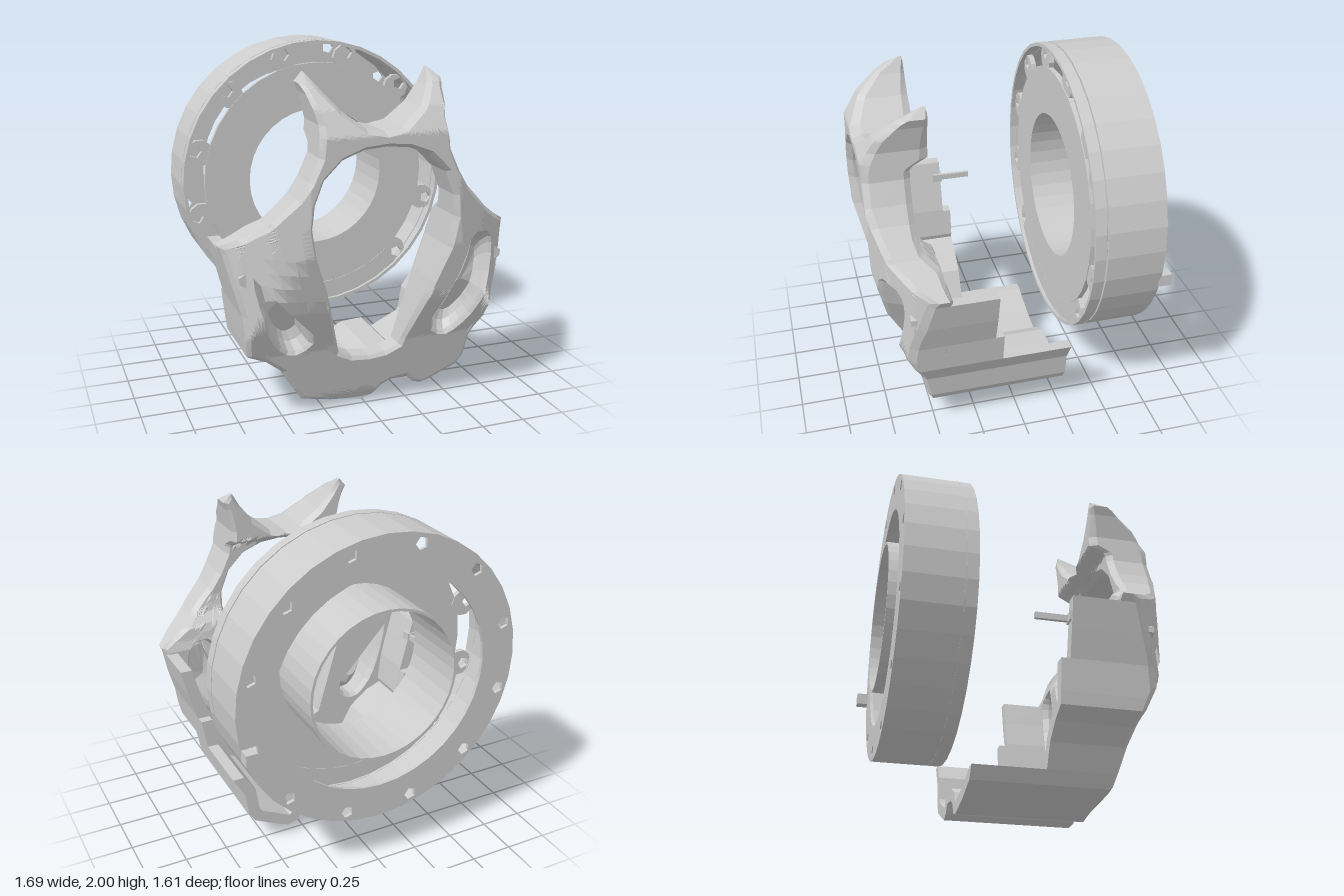
import * as THREE from 'three';

const material = new THREE.MeshStandardMaterial({ color: 0xcccccc, flatShading: true, side: THREE.DoubleSide });
const CY = 1.155; // height of the ring axis
const DEG = Math.PI / 180;

function add(parent, name, geometry) {
  const mesh = new THREE.Mesh(geometry, material);
  mesh.name = name;
  parent.add(mesh);
  return mesh;
}
const toVectors = pts => pts.map(p => new THREE.Vector2(p[0], p[1]));
const mirror = pts => pts.map(([x, y]) => [-x, y]).reverse();

// Piecewise linear lookup through [key, value] pairs
function lookup(table, k) {
  if (k <= table[0][0]) return table[0][1];
  for (let i = 1; i < table.length; i++) {
    const [a, va] = table[i - 1], [b, vb] = table[i];
    if (k <= b) return va + (vb - va) * (k - a) / (b - a);
  }
  return table[table.length - 1][1];
}

// Flat outline extruded between two z values
function slab(shape, z0, z1) {
  return new THREE.ExtrudeGeometry(shape, { depth: z1 - z0, bevelEnabled: false }).translate(0, 0, z0);
}

// Rectangular section turned around the ring axis
function turned(r0, r1, z0, z1, start = 0, length = Math.PI * 2) {
  const pts = toVectors([[r0, z0], [r1, z0], [r1, z1], [r0, z1], [r0, z0]]);
  return new THREE.LatheGeometry(pts, 36, start, length).rotateX(Math.PI / 2).translate(0, CY, 0);
}

function circle(x, y, r, n) {
  const pts = [];
  for (let i = 0; i < n; i++) {
    const a = i / n * Math.PI * 2;
    pts.push(new THREE.Vector2(x + r * Math.cos(a), y + r * Math.sin(a)));
  }
  return pts;
}

function makeRing() {
  const ring = new THREE.Group();
  ring.name = 'ringHousing';
  add(ring, 'frontRim', turned(0.825, 0.845, -0.403, -0.34));
  add(ring, 'outerWall', turned(0.825, 0.845, -0.74, -0.412));
  // closes the seam on one side only
  add(ring, 'seamBridge', turned(0.825, 0.845, -0.412, -0.403, 208 * DEG, 202 * DEG));
  add(ring, 'frontPlate', turned(0.44, 0.71, -0.39, -0.36));
  add(ring, 'lowerPlate', turned(0.71, 0.825, -0.39, -0.36, 318 * DEG, 84 * DEG));
  add(ring, 'innerTube', turned(0.43, 0.445, -0.77, -0.36));

  // back flange with screw holes, and matching tabs on the front plate
  const flange = new THREE.Shape(circle(0, CY, 0.845, 36));
  flange.holes.push(new THREE.Path(circle(0, CY, 0.64, 36)));
  for (let i = 0; i < 12; i++) {
    const a = (15 + 30 * i) * DEG, c = Math.cos(a), s = Math.sin(a);
    const hole = () => new THREE.Path(circle(0.787 * c, CY + 0.787 * s, 0.038, 5));
    flange.holes.push(hole());
    if (i === 8 || i === 9) continue; // covered by the lower plate
    const tab = new THREE.Shape(circle(0.757 * c, CY + 0.757 * s, 0.08, 10));
    tab.holes.push(hole());
    add(ring, 'screwTab', slab(tab, -0.395, -0.365));
  }
  add(ring, 'backFlange', slab(flange, -0.74, -0.72));

  const pin = new THREE.CylinderGeometry(0.058, 0.058, 0.04, 14).rotateX(Math.PI / 2);
  add(ring, 'locatingPin', pin).position.set(0.68, 1.55, -0.38);
  add(ring, 'backStud', new THREE.BoxGeometry(0.06, 0.07, 0.07)).position.set(0.79, 0.94, -0.77);
  return ring;
}

// Cradle outline from the left-hand end, under the chin, to the right-hand end
const CRADLE = [
  [-0.82, 0.99], [-0.78, 0.82], [-0.74, 0.66], [-0.72, 0.48], [-0.71, 0.41], [-0.6, 0.36], [-0.5, 0.28],
  [-0.43, 0.15], [-0.38, 0.08], [-0.2, 0.03], [0, 0], [0.06, 0.02], [0.1, 0.09], [0.16, 0.12], [0.26, 0.13],
  [0.3, 0.08], [0.36, 0.06], [0.45, 0.1], [0.57, 0.16], [0.61, 0.22], [0.63, 0.36], [0.7, 0.48],
  [0.73, 0.66], [0.78, 0.82], [0.82, 0.99],
];

// A stretch of the outline, thickened inwards
function cradleShape(first, last, t) {
  const inner = [];
  for (let i = first; i <= last; i++) {
    const a = CRADLE[Math.max(i - 1, 0)], b = CRADLE[Math.min(i + 1, CRADLE.length - 1)];
    const dx = b[0] - a[0], dy = b[1] - a[1], l = Math.hypot(dx, dy);
    inner.push([CRADLE[i][0] - dy / l * t, CRADLE[i][1] + dx / l * t]);
  }
  inner[0][1] = CRADLE[first][1];
  inner[inner.length - 1][1] = CRADLE[last][1];
  return new THREE.Shape(toVectors([...CRADLE.slice(first, last + 1), ...inner.reverse()]));
}

// Front and back surfaces of the bezel
const FRONT_Y = [[0, 0.44], [0.08, 0.5], [0.2, 0.53], [0.4, 0.58], [0.7, 0.72], [1, 0.79], [1.2, 0.8],
  [1.62, 0.8], [1.75, 0.72], [1.85, 0.6], [1.92, 0.47]];
const FRONT_X = [[0.42, 0.8], [0.6, 0.73], [0.75, 0.62], [0.84, 0.51]];
const BACK_Y = [[1, 0.42], [1.05, 0.44], [1.12, 0.45], [1.18, 0.53], [1.25, 0.55], [1.57, 0.54], [1.62, 0.44]];
const frontZ = (x, y) => Math.min(lookup(FRONT_Y, y), lookup(FRONT_X, Math.abs(x)));

// Splits every triangle into four
function subdivide(corners) {
  const out = [];
  for (let i = 0; i < corners.length; i += 3) {
    const [a, b, c] = corners.slice(i, i + 3);
    const ab = a.clone().lerp(b, 0.5), bc = b.clone().lerp(c, 0.5), ca = c.clone().lerp(a, 0.5);
    out.push(a, ab, ca, ab, b, bc, ca, bc, c, ab, bc, ca);
  }
  return out;
}

// Chamfered extrusion whose two faces follow the bezel surfaces
function domed(shape) {
  const p = new THREE.ExtrudeGeometry(shape, {
    depth: 0.72, bevelThickness: 0.14, bevelSize: 0.022, bevelOffset: -0.022, bevelSegments: 1,
  }).attributes.position;
  let corners = [];
  for (let i = 0; i < p.count; i++) corners.push(new THREE.Vector3().fromBufferAttribute(p, i));
  for (let k = 0; k < 3; k++) corners = subdivide(corners);
  const placed = corners.map(({ x, y, z }) => {
    const back = lookup(BACK_Y, y), front = Math.max(frontZ(x, y), back + 0.02);
    return new THREE.Vector3(x, y, back + (front - back) * (z + 0.14));
  });
  const g = new THREE.BufferGeometry().setFromPoints(placed);
  g.computeVertexNormals();
  return g;
}

// Tapered trough sunk into the bezel: rim, mid ring, floor ring, floor centre
function trough(rim) {
  const n = rim.length, pts = [], index = [];
  const cx = rim.reduce((s, p) => s + p.x, 0) / n, cy = rim.reduce((s, p) => s + p.y, 0) / n;
  for (const [scale, sink] of [[1.04, 0.02], [0.86, 0.09], [0.68, 0.13], [0, 0.13]]) {
    for (const p of rim) {
      const x = cx + (p.x - cx) * scale, y = cy + (p.y - cy) * scale;
      pts.push(new THREE.Vector3(x, y, frontZ(x, y) - sink));
    }
  }
  for (let r = 0; r < 3; r++) {
    for (let i = 0; i < n; i++) {
      const a = r * n + i, b = r * n + (i + 1) % n;
      index.push(a, b, a + n, b, b + n, a + n);
    }
  }
  const g = new THREE.BufferGeometry().setFromPoints(pts);
  g.setIndex(index);
  g.computeVertexNormals();
  return g;
}

function makeCage() {
  const cage = new THREE.Group();
  cage.name = 'frontCage';

  // bezel: chin, wings, arms, top bridge and two horns
  const upper = [[0.84, 1.03], [0.72, 1.1], [0.62, 1.17], [0.48, 1.31], [0.42, 1.4], [0.365, 1.52], [0.35, 1.68],
    [0.38, 1.82], [0.4, 1.87], [0.35, 1.92], [0.3, 1.84], [0.22, 1.74], [0.1, 1.65]];
  const bezel = new THREE.Shape(toVectors([...CRADLE, ...upper, [0, 1.63], ...mirror(upper)]));
  const windowHalf = [[0.1, 0.32], [0.18, 0.36], [0.22, 0.5], [0.3, 0.78], [0.37, 0.98], [0.4, 1.15],
    [0.39, 1.27], [0.34, 1.4], [0.24, 1.5], [0.12, 1.545]];
  bezel.holes.push(new THREE.Path(toVectors([[0, 0.31], ...windowHalf, [0, 1.555], ...mirror(windowHalf)])));

  // one long slot on each side, rounded off by a closed curve
  const slot = [[0.64, 1.0], [0.54, 1.01], [0.48, 0.82], [0.37, 0.46], [0.46, 0.41], [0.56, 0.5], [0.63, 0.68], [0.67, 0.92]];
  for (const pts of [slot, mirror(slot)]) {
    const curve = new THREE.CatmullRomCurve3(pts.map(([x, y]) => new THREE.Vector3(x, y, 0)), true);
    const rim = curve.getPoints(20).slice(0, 20).map(p => new THREE.Vector2(p.x, p.y));
    bezel.holes.push(new THREE.Path(rim));
    add(cage, 'slotTrough', trough(rim));
  }
  add(cage, 'bezel', domed(bezel));

  // stepped cradle behind the bezel
  add(cage, 'cradleSides', slab(cradleShape(0, 24, 0.07), 0.17, 0.45));
  add(cage, 'cradleStep', slab(cradleShape(2, 22, 0.07), 0.12, 0.17));
  add(cage, 'cradleFloor', slab(cradleShape(7, 21, 0.07), -0.285, 0.12));

  // side bolts and the single rear pin
  for (const s of [-1, 1]) {
    const bolt = new THREE.CylinderGeometry(0.035, 0.035, 0.06, 6).rotateX(Math.PI / 2);
    add(cage, 'sideBolt', bolt).position.set(s * 0.73, 0.87, 0.61);
  }
  add(cage, 'rearPin', new THREE.BoxGeometry(0.02, 0.035, 0.22)).position.set(-0.735, 0.89, 0.09);
  add(cage, 'rearPinFoot', new THREE.BoxGeometry(0.07, 0.05, 0.06)).position.set(-0.75, 0.89, 0.19);
  return cage;
}

export function createModel() {
  const model = new THREE.Group();
  model.name = 'lampAssembly';
  model.add(makeRing(), makeCage());
  return model;
}
